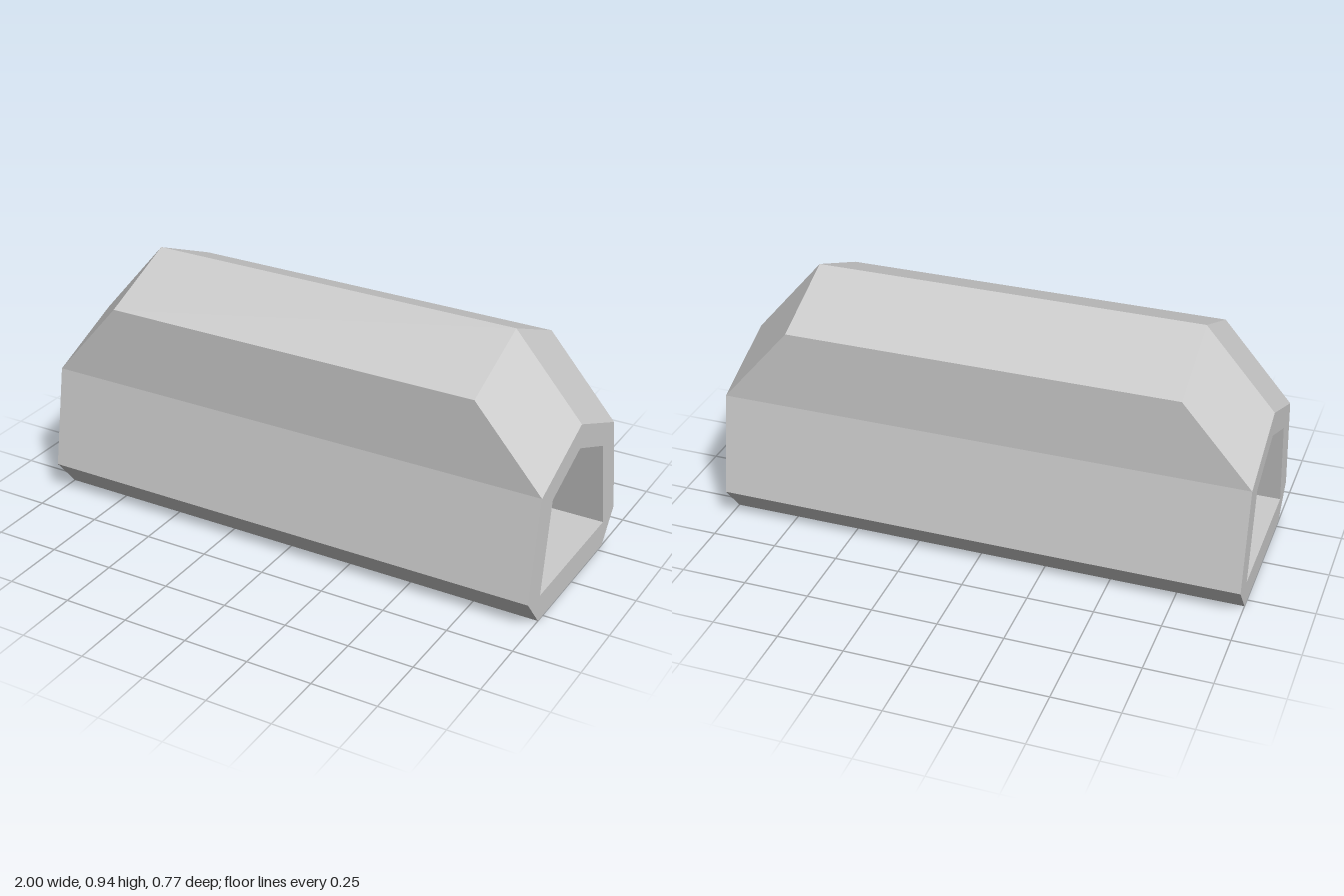
import * as THREE from 'three';

const material = new THREE.MeshStandardMaterial({ color: 0xcccccc, flatShading: true });

// Mirrors a half profile [z, y] (bottom to ridge) into a closed ring
function mirrorRing(half) {
  const other = half.filter(([z]) => z > 0).reverse().map(([z, y]) => [-z, y]);
  return [...half, ...other];
}

// Skins a series of [x, ring] sections, leaving out collapsed triangles
function loft(sections) {
  const positions = [];
  const addTriangle = (a, b, c) => {
    if (new THREE.Triangle(a, b, c).getArea() < 1e-6) return;
    for (const p of [a, b, c]) positions.push(p.x, p.y, p.z);
  };
  const point = ([x, ring], j) => {
    const [z, y] = ring[j % ring.length];
    return new THREE.Vector3(x, y, z);
  };
  for (let i = 0; i < sections.length - 1; i++) {
    for (let j = 0; j < sections[i][1].length; j++) {
      const a = point(sections[i], j), b = point(sections[i], j + 1);
      const c = point(sections[i + 1], j + 1), d = point(sections[i + 1], j);
      addTriangle(a, d, c);
      addTriangle(a, c, b);
    }
  }
  const geometry = new THREE.BufferGeometry();
  geometry.setAttribute('position', new THREE.Float32BufferAttribute(positions, 3));
  geometry.computeVertexNormals();
  return geometry;
}

export function createModel() {
  const group = new THREE.Group();
  group.name = 'hollowBlock';
  const add = (name, geometry) => {
    const mesh = new THREE.Mesh(geometry, material);
    mesh.name = name;
    group.add(mesh);
    return mesh;
  };

  // Outer shell: the gabled top rises between the sloped ends
  const outerRing = (rise) => mirrorRing([
    [0.29, 0], [0.387, 0.119], [0.319, 0.505], [0.319, 0.505 + rise], [0, 0.641 + rise],
  ]);
  const low = outerRing(0), high = outerRing(0.304);
  add('outerShell', loft([[-1, low], [-0.737, high], [0.737, high], [1, low]]));

  // Tunnel running the whole length, facing inwards
  const inner = mirrorRing([[0.285, 0.102], [0.223, 0.452], [0, 0.547]]);
  const inward = [...inner].reverse();
  add('tunnel', loft([[-1, inward], [1, inward]]));

  // Flat end rims around the tunnel mouths
  const toPoints = (ring) => ring.map(([z, y]) => new THREE.Vector2(z, y));
  const rim = new THREE.Shape(toPoints(mirrorRing([
    [0.29, 0], [0.387, 0.119], [0.319, 0.505], [0, 0.641],
  ])));
  rim.holes.push(new THREE.Path(toPoints(inner)));
  for (const side of [1, -1]) {
    const mesh = add(side > 0 ? 'leftRim' : 'rightRim', new THREE.ShapeGeometry(rim));
    mesh.position.x = side;
    mesh.rotation.y = side * Math.PI / 2;
  }
  return group;
}
